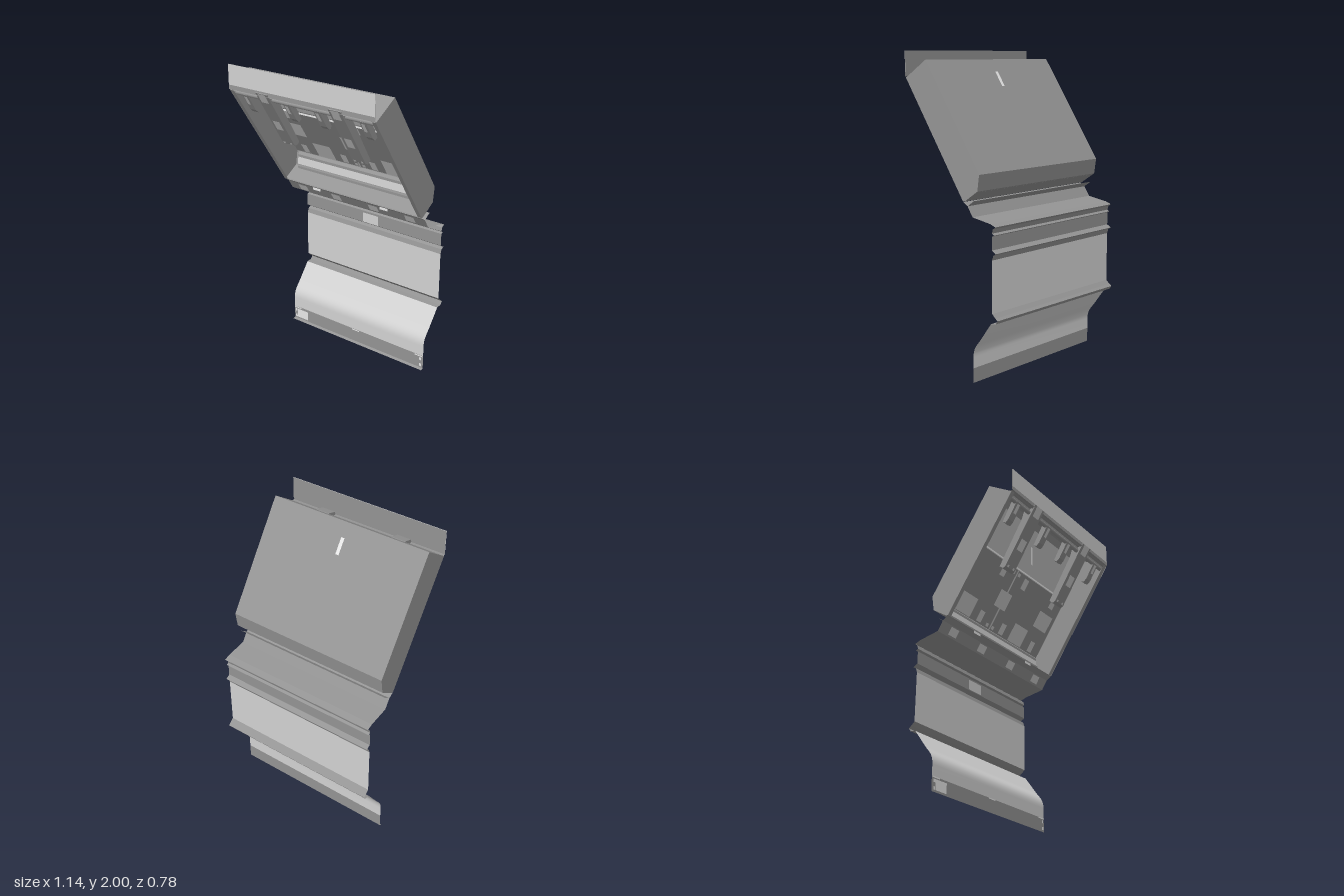
import * as THREE from 'three';

const W = 0.57; // half width of the whole assembly

export function createModel() {
  const model = new THREE.Group();
  model.name = 'foldedPanelAssembly';

  const paint = (name, color) => {
    const m = new THREE.MeshStandardMaterial({ color, side: THREE.DoubleSide });
    m.name = name;
    return m;
  };
  const light = paint('light grey', 0xd2d2d2);
  const mid = paint('mid grey', 0x949494);
  const white = paint('off white', 0xececec);

  const add = (name, geometry, material) => {
    const mesh = new THREE.Mesh(geometry, material);
    mesh.name = name;
    model.add(mesh);
    return mesh;
  };

  // Folded sheet: a [z, y] profile swept straight across x
  function sheet(name, profile, material, x0 = -W, x1 = W, smooth = false) {
    const pos = [], index = [];
    profile.forEach(([z, y]) => pos.push(x0, y, z, x1, y, z));
    for (let i = 0; i < profile.length - 1; i++) {
      const a = i * 2;
      index.push(a, a + 1, a + 3, a, a + 3, a + 2);
    }
    let g = new THREE.BufferGeometry();
    g.setAttribute('position', new THREE.Float32BufferAttribute(pos, 3));
    g.setIndex(index);
    if (!smooth) g = g.toNonIndexed();
    g.computeVertexNormals();
    return add(name, g, material);
  }

  const outline = pts => new THREE.Shape(pts.map(p => new THREE.Vector2(p[0], p[1])));

  // Solid with a [z, y] outline, between x0 and x1
  function solid(name, pts, material, x0, x1) {
    const g = new THREE.ExtrudeGeometry(outline(pts), { depth: x1 - x0, bevelEnabled: false });
    return add(name, g.rotateY(-Math.PI / 2).translate(x1, 0, 0), material);
  }

  // ---- Lower apron: folded sheet ----
  sheet('apronFoot', [[-0.172, 0.0], [-0.19, 0.008], [-0.19, 0.1]], mid);
  const bend = new THREE.CubicBezierCurve(
    new THREE.Vector2(-0.19, 0.17), new THREE.Vector2(-0.19, 0.23),
    new THREE.Vector2(-0.22, 0.25), new THREE.Vector2(-0.25, 0.29));
  sheet('apronSlope', [[-0.19, 0.1], ...bend.getPoints(10).map(p => [p.x, p.y]), [-0.335, 0.405]],
    light, -W, W, true);
  sheet('apronLowerRib', [[-0.335, 0.405], [-0.372, 0.41], [-0.388, 0.432], [-0.37, 0.445], [-0.345, 0.468]], mid);
  sheet('apronPanel', [[-0.345, 0.468], [-0.345, 0.79]], light);
  sheet('apronMiddleRib', [[-0.345, 0.79], [-0.355, 0.82], [-0.375, 0.832], [-0.345, 0.85]], mid);
  sheet('apronBand', [[-0.345, 0.85], [-0.345, 0.932], [-0.36, 0.94], [-0.345, 0.95]], mid);
  sheet('apronTopFold', [[-0.345, 0.95], [-0.352, 0.975], [-0.372, 0.99], [-0.33, 1.005], [-0.19, 1.028],
    [-0.15, 1.09], [-0.115, 1.112]], mid);
  sheet('apronBackLip', [[-0.15, 1.09], [-0.2, 1.125]], mid);

  // Plates on the apron
  sheet('footPlate', [[-0.186, 0.02], [-0.186, 0.085]], white, -0.54, -0.44);
  sheet('bandPlate', [[-0.341, 0.853], [-0.341, 0.92]], light, -0.065, 0.065);
  for (const x of [-0.535, 0, 0.535])
    sheet('footMark', [[-0.186, 0.092], [-0.186, 0.1]], white, x - 0.032, x + 0.032);
  for (const s of [-1, 1]) {
    for (const y of [0.03, 0.075])
      sheet('footCornerMark', [[-0.186, y - 0.01], [-0.186, y + 0.01]], white, s * 0.55 - 0.008, s * 0.55 + 0.008);
    for (const x of [0.155, 0.445])
      sheet('foldPlate', [[-0.18, 1.037], [-0.151, 1.082]], light, s * x - 0.037, s * x + 0.037);
    sheet('foldTab', [[-0.108, 1.095], [-0.108, 1.112]], white, s * 0.28 - 0.033, s * 0.28 + 0.033);
  }

  // ---- Tilted open tray ----
  const tray = [[0.37, 1.835], [0.195, 1.945], [-0.245, 1.285], [-0.23, 1.185], [-0.125, 1.115], [-0.112, 1.115]];
  sheet('trayShell', tray, mid);
  for (const s of [-1, 1]) {
    const g = new THREE.ShapeGeometry(outline(tray)).rotateY(-Math.PI / 2).translate(s * W, 0, 0);
    add('traySide', g, mid);
    // narrow rim turned inward along the open edge
    sheet('traySideRim', [[-0.112, 1.117], [0.37, 1.84]], mid,
      Math.min(s * W, s * 0.54), Math.max(s * W, s * 0.54));
  }

  // Upright strip on the upper edge, two-toned
  sheet('topFlangeFront', [[0.378, 1.87], [0.378, 2.0]], light);
  sheet('topFlangeBack', [[0.374, 1.85], [0.374, 2.0]], mid);
  sheet('topFlangeFold', [[0.378, 1.87], [0.38, 1.842], [0.345, 1.842], [0.345, 1.812]], mid);

  // Inner ledges at the low end
  sheet('lowerLedge', [[-0.215, 1.2], [-0.22, 1.25]], light, -0.54, 0.54);
  sheet('lowerLedgeTop', [[-0.22, 1.25], [-0.22, 1.268], [-0.235, 1.285]], mid, -0.54, 0.54);
  solid('lowerRail', [[-0.22, 1.178], [-0.195, 1.178], [-0.195, 1.194], [-0.22, 1.194]], mid, -0.52, 0.52);

  // Rod along the high end
  const rod = new THREE.CylinderGeometry(0.014, 0.014, 1.08, 12).rotateZ(Math.PI / 2).translate(0, 1.818, 0.335);
  add('hingeRod', rod, mid);

  // Plates on the inside of the tray back, given by their x and y spans
  const floorZ = y => -0.245 + (y - 1.285) / 1.5;
  const plate = (name, x0, x1, y0, y1, material = light, lift = 0.008) =>
    sheet(name, [[floorZ(y0) + lift, y0], [floorZ(y1) + lift, y1]], material, x0, x1);
  plate('upperInnerPanel', -0.54, 0.54, 1.66, 1.9);
  plate('centreSeam', -0.006, 0.006, 1.285, 1.655, light, 0.014);
  plate('centrePlate', -0.06, 0.06, 1.42, 1.52);
  for (const s of [-1, 1]) {
    const pair = (x, w, y0, y1) => plate('innerPlate', s * x - w / 2, s * x + w / 2, y0, y1);
    pair(0.455, 0.15, 1.44, 1.54);
    pair(0.285, 0.15, 1.29, 1.4);
    for (const x of [0.12, 0.46]) {
      pair(x, 0.048, 1.58, 1.645);
      pair(x, 0.048, 1.295, 1.36);
    }
    pair(0.03, 0.025, 1.295, 1.315);
    pair(0.03, 0.025, 1.63, 1.65);
  }
  sheet('crossStrip', [[0.03, 1.65], [0.03, 1.662]], white, -0.54, 0.54);
  sheet('centreStrip', [[0.125, 1.662], [0.125, 1.8]], white, -0.009, 0.009);

  // Slot mark on the outside of the tray back
  sheet('backSlot', [[0.077, 1.777], [0.137, 1.867]], white, -0.012, 0.012);

  // Hinge arms and short hooks hanging from the rod
  for (const s of [-1, 1]) {
    const x = s * 0.285;
    solid('hingeArm', [[0.31, 1.878], [0.388, 1.858], [0.152, 1.488], [0.132, 1.478], [0.105, 1.5], [0.28, 1.79]],
      mid, x - 0.049, x + 0.049);
    sheet('hingeArmPlate', [[0.224, 1.595], [0.266, 1.66]], light, x - 0.028, x + 0.028);
    sheet('hingeArmCap', [[0.352, 1.795], [0.39, 1.856]], light, x - 0.03, x + 0.03);
    for (const e of [-0.028, 0.028])
      sheet('hingeArmPin', [[0.155, 1.487], [0.163, 1.5]], light, x + e - 0.008, x + e + 0.008);
    for (const h of [0.12, 0.46]) {
      const hx = s * h;
      solid('hook', [[0.35, 1.815], [0.285, 1.71], [0.262, 1.69], [0.24, 1.705], [0.31, 1.83]],
        mid, hx - 0.025, hx + 0.025);
      sheet('hookPlate', [[0.313, 1.748], [0.348, 1.804]], light, hx - 0.012, hx + 0.012);
    }
  }
  return model;
}
